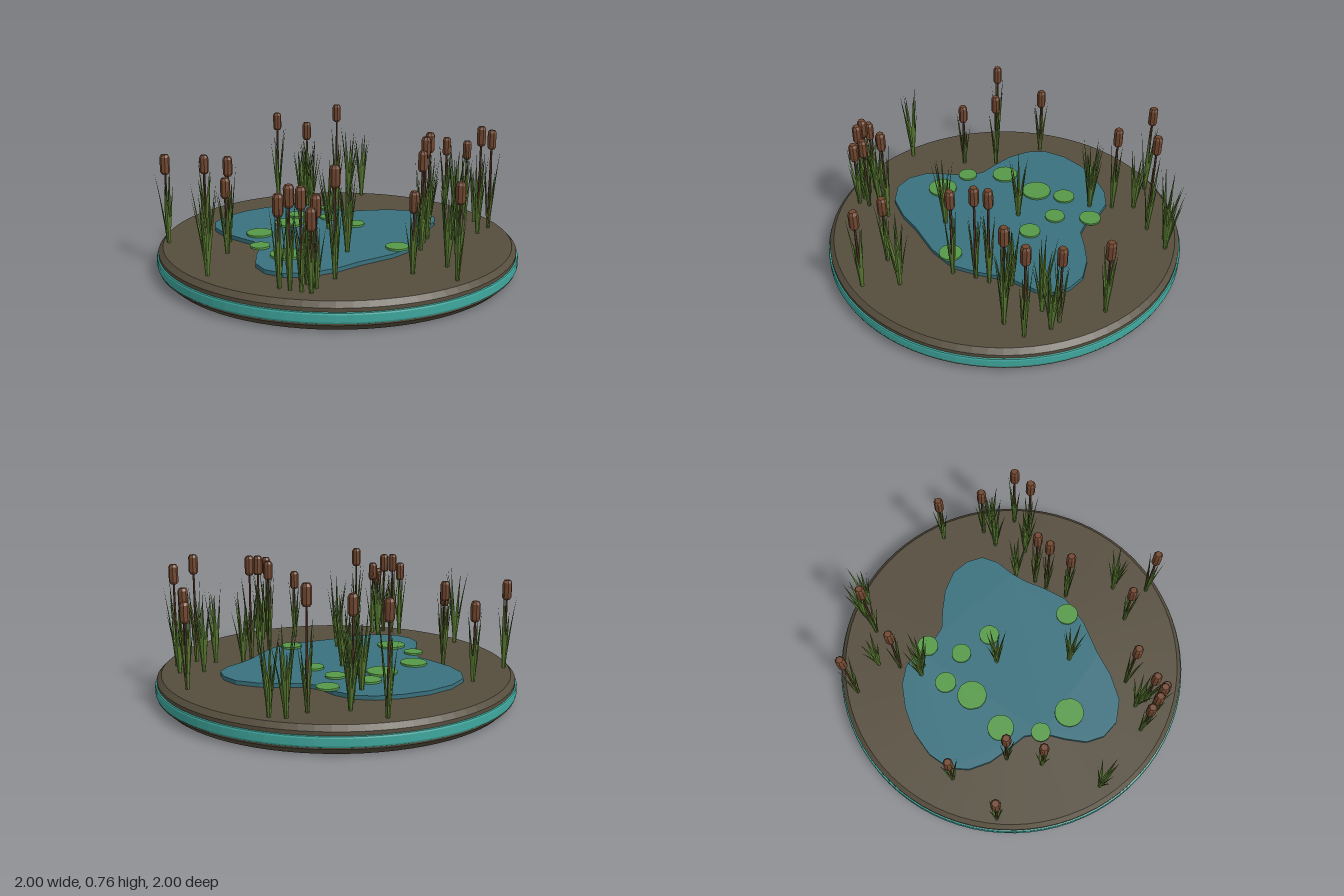
import * as THREE from 'three';
import { mergeGeometries } from 'three/addons/utils/BufferGeometryUtils.js';

const GROUND = 0.145, WATER = 0.167;

function material(name, color, extra = {}) {
  const m = new THREE.MeshStandardMaterial({ color, ...extra });
  m.name = name;
  return m;
}

// small seeded generator
function seeded(seed) {
  return () => {
    seed = (seed * 16807) % 2147483647;
    return seed / 2147483647;
  };
}

// one reed leaf: a thin four-sided spindle that bends outward
function bladeGeometry(height, lean, angle, baseRadius) {
  const g = new THREE.CylinderGeometry(1, 1, 1, 4, 5, true);
  const p = g.attributes.position;
  for (let i = 0; i < p.count; i++) {
    const t = p.getY(i) + 0.5;
    const w = t < 0.4 ? 0.006 + 0.012 * t : 0.0108 * (1 - t) / 0.6;
    p.setXYZ(i,
      p.getX(i) * w * 0.35 + baseRadius + lean * Math.pow(t, 1.4),
      t * height,
      p.getZ(i) * w);
  }
  g.rotateY(angle);
  g.computeVertexNormals();
  return g;
}

function clumpGeometry(count, height, spread, random) {
  const blades = [];
  const start = random() * Math.PI * 2;
  for (let i = 0; i < count; i++) {
    const angle = start + (i + 0.6 * random()) * Math.PI * 2 / count;
    blades.push(bladeGeometry(height * (0.68 + 0.32 * random()),
      spread * (0.5 + 0.5 * random()), angle, 0.008));
  }
  return mergeGeometries(blades);
}

// flat slab in the xz plane whose top lies at y
function slab(shape, top, depth, segments) {
  const g = new THREE.ExtrudeGeometry(shape, { depth, bevelEnabled: false, curveSegments: segments });
  g.rotateX(Math.PI / 2);
  g.translate(0, top, 0);
  return g;
}

export function createModel() {
  const model = new THREE.Group();
  model.name = 'reedPond';
  const random = seeded(4211);

  const soil = material('soil brown', 0x554d3d, { flatShading: true });
  const teal = material('rim teal', 0x3fa89e, { flatShading: true });
  const water = material('water blue', 0x39717e, { flatShading: true });
  const lily = material('lily green', 0x569a48, { flatShading: true });
  const leaf = material('reed green', 0x56762f, { flatShading: true, side: THREE.DoubleSide });
  const stalk = material('stalk brown', 0x5c3f2e, { flatShading: true });
  const head = material('cattail brown', 0x70462f, { flatShading: true });

  function add(parent, name, geometry, mat, x = 0, y = 0, z = 0) {
    const mesh = new THREE.Mesh(geometry, mat);
    mesh.name = name;
    mesh.position.set(x, y, z);
    parent.add(mesh);
    return mesh;
  }
  const lathe = (pts, n = 80) => new THREE.LatheGeometry(pts.map(([r, y]) => new THREE.Vector2(r, y)), n);

  // round base: lower soil, teal band, upper soil
  add(model, 'baseBottom', lathe([[0, 0], [0.955, 0], [0.993, 0.036], [0.993, 0.05]]), soil);
  add(model, 'rimBand', lathe([[0.985, 0.04], [0.997, 0.046], [1, 0.054], [1, 0.09], [0.997, 0.098], [0.985, 0.102]]), teal);
  add(model, 'baseTop', lathe([[0.99, 0.09], [0.99, 0.12], [0.965, GROUND], [0, GROUND]]), soil);

  // pond outline as x, z pairs
  const outline = [
    [-0.16, -0.63], [-0.05, -0.61], [0.04, -0.54], [0.1, -0.455], [0.18, -0.405], [0.3, -0.4],
    [0.42, -0.385], [0.54, -0.335], [0.61, -0.25], [0.635, -0.16], [0.6, -0.07], [0.52, 0.02],
    [0.47, 0.1], [0.42, 0.21], [0.35, 0.33], [0.2, 0.43], [0, 0.505], [-0.13, 0.57],
    [-0.28, 0.61], [-0.41, 0.585], [-0.49, 0.51], [-0.52, 0.41], [-0.5, 0.29], [-0.465, 0.17],
    [-0.48, 0.06], [-0.55, -0.03], [-0.62, -0.13], [-0.66, -0.25], [-0.65, -0.36], [-0.57, -0.47],
    [-0.44, -0.56], [-0.3, -0.61],
  ].map(([x, z]) => new THREE.Vector2(x, z));
  add(model, 'pondWater', slab(new THREE.Shape(outline), WATER, WATER - GROUND + 0.005, 1), water);

  // lily pads: x, z, radius, notch direction
  const pads = [
    [0.07, -0.485, 0.06, 3.1], [-0.155, -0.38, 0.06, 2.7], [0.02, -0.29, 0.056, -1.6],
    [-0.235, -0.23, 0.083, 2.95], [-0.43, -0.07, 0.074, 3.1], [0.13, -0.125, 0.058, 0.5],
    [-0.46, 0.155, 0.054, 0.2], [-0.35, 0.32, 0.082, -0.1], [0.25, 0.335, 0.063, 0.8],
  ];
  for (const [x, z, r, notch] of pads) {
    const shape = new THREE.Shape();
    shape.moveTo(0, 0);
    shape.absarc(0, 0, r, notch + 0.25, notch + Math.PI * 2 - 0.25, false);
    shape.closePath();
    add(model, 'lilyPad', slab(shape, 0.011, 0.011, 20), lily, x, WATER, z);
  }

  // cattails: x, z, height of the head's top
  const cattails = [
    [-0.93, -0.1, 0.64], [-0.705, -0.34, 0.575], [-0.6, -0.04, 0.625], [-0.635, 0.155, 0.555],
    [-0.45, 0.72, 0.605], [-0.405, 0.755, 0.655], [-0.355, 0.785, 0.65], [-0.315, 0.815, 0.555],
    [-0.28, 0.76, 0.6], [-0.165, 0.655, 0.71], [-0.19, -0.885, 0.71], [-0.045, -0.645, 0.685],
    [0.18, -0.79, 0.765], [0.225, 0.675, 0.565], [0.38, 0.335, 0.685], [0.405, 0.815, 0.635],
    [0.435, 0.22, 0.735], [0.48, 0.155, 0.745], [0.785, -0.395, 0.6], [0.82, -0.15, 0.625],
    [0.79, 0.125, 0.76], [0.89, 0.04, 0.72],
  ];
  const headGeometry = lathe([[0, -0.108], [0.018, -0.108], [0.026, -0.094], [0.026, -0.014], [0.018, 0], [0, 0]], 8);
  for (const [x, z, top] of cattails) {
    const plant = new THREE.Group();
    plant.name = 'cattail';
    plant.position.set(x, GROUND, z);
    const h = top - GROUND;
    add(plant, 'stalk', new THREE.CylinderGeometry(0.006, 0.008, h - 0.09, 6), stalk, 0, (h - 0.09) / 2, 0);
    add(plant, 'seedHead', headGeometry, head, 0, h, 0);
    add(plant, 'leaves', clumpGeometry(5, Math.min(0.5, h * 0.95), 0.05, random), leaf);
    model.add(plant);
  }

  // leaf clumps without heads: x, z, leaf height
  const clumps = [
    [-0.765, 0.47, 0.47], [0.425, 0.62, 0.47], [0.52, 0.04, 0.45], [0.73, -0.08, 0.48],
    [0.68, 0.1, 0.47], [0.86, -0.1, 0.42], [0.28, -0.86, 0.48], [0.36, -0.84, 0.42],
    [-0.025, -0.77, 0.42], [-0.1, -0.52, 0.46], [-0.05, -0.51, 0.48], [-0.03, -0.085, 0.46],
    [-0.025, 0.335, 0.5], [-0.31, 0.7, 0.45],
  ];
  for (const [x, z, h] of clumps) {
    add(model, 'reedClump', clumpGeometry(8, h, 0.068, random), leaf, x, GROUND, z);
  }

  return model;
}
